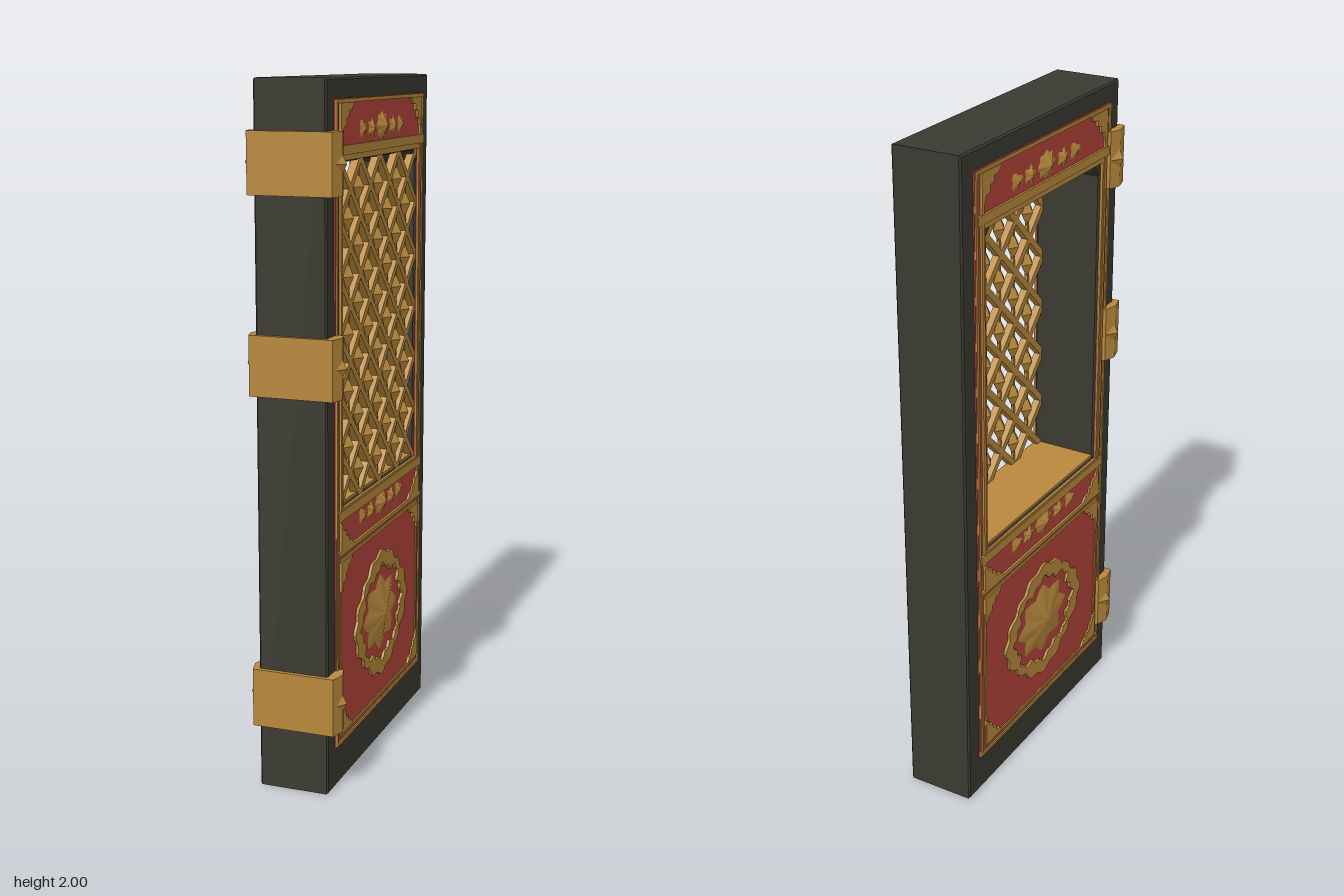
import * as THREE from 'three';

const mat = (name, color) => Object.assign(new THREE.MeshStandardMaterial({ color }), { name });

export function createModel() {
  const dark = mat('dark frame', 0x3a3a32);
  const red = mat('red lacquer', 0xb2443a);
  const gold = mat('gold', 0xb8883c);
  const root = new THREE.Group();
  root.name = 'latticeDoor';

  const add = (parent, name, geo, material, x = 0, y = 0, z = 0) => {
    const m = new THREE.Mesh(geo, material);
    m.name = name;
    m.position.set(x, y, z);
    parent.add(m);
    return m;
  };
  const poly = (pts) => new THREE.Shape(pts.map((p) => new THREE.Vector2(...p)));
  const rect = (w, y0, y1) => poly([[-w, y0], [w, y0], [w, y1], [-w, y1]]);
  const extrude = (shape, depth) => new THREE.ExtrudeGeometry(shape, { depth, bevelEnabled: false });
  const ring = (outer, inner, depth) => {
    outer.holes.push(inner);
    return extrude(outer, depth);
  };
  // closed oval outline with a scalloped edge
  const lobed = (rx, ry, f, n = 96) => poly(Array.from({ length: n }, (_, i) => {
    const a = (i / n) * Math.PI * 2;
    return [Math.cos(a) * rx * f(a), Math.sin(a) * ry * f(a)];
  }));
  // shallow pointed flower standing on the panel
  const flower = (rx, ry, h, petals, dip) => {
    const g = new THREE.ConeGeometry(1, h, petals * 4, 2, true).rotateX(Math.PI / 2).translate(0, 0, h / 2);
    const p = g.attributes.position;
    for (let i = 0; i < p.count; i++) {
      const x = p.getX(i), y = p.getY(i);
      const k = 1 - dip * (0.5 - 0.5 * Math.cos(petals * Math.atan2(y, x)));
      p.setXY(i, x * rx * k, y * ry * k);
    }
    g.computeVertexNormals();
    return g;
  };

  const W = 0.326, Y0 = 0.82, Y1 = 1.78, C = -0.007;

  // Thick frame with the window cut through it
  const frame = rect(0.424, 0.006, 1.994);
  frame.holes.push(poly([[-W, Y0], [W, Y0], [W, Y1 - 0.04], [W - 0.04, Y1], [0.04 - W, Y1], [-W, Y1 - 0.04]]));
  const frameGeo = new THREE.ExtrudeGeometry(frame, {
    depth: 0.198, bevelEnabled: true, bevelSize: 0.005, bevelThickness: 0.005, bevelSegments: 1,
  }).translate(0, 0, -0.099).rotateY(Math.PI / 2);
  add(root, 'frame', frameGeo, dark, -0.003, 0, C);
  add(root, 'windowSill', new THREE.BoxGeometry(0.2, 0.012, W * 2), gold, -0.003, Y0 + 0.006, C);

  // Carved decoration of one broad face, drawn facing +z and then turned outwards
  const face = (name) => {
    const g = new THREE.Group();
    g.name = name;
    add(g, 'redPanel', ring(rect(0.373, 0.12, 1.945), rect(W, Y0, Y1), 0.004), red);
    add(g, 'outerBorder', ring(rect(0.371, 0.122, 1.943), rect(0.361, 0.132, 1.933), 0.008), gold);
    add(g, 'windowBorder', ring(rect(0.346, 0.795, 1.81), rect(W, Y0, Y1), 0.008), gold);
    add(g, 'lowerBorder', ring(rect(0.346, 0.143, 0.675), rect(0.336, 0.153, 0.665), 0.007), gold);
    for (const [y, h] of [[1.808, 0.026], [0.8, 0.028], [0.692, 0.012]]) {
      add(g, 'crossRail', new THREE.BoxGeometry(0.73, h, 0.012), gold, 0, y, 0.005);
    }
    for (const s of [-1, 1]) {
      add(g, 'sideRail', new THREE.BoxGeometry(0.012, 1.1, 0.01), gold, s * 0.34, 1.3, 0.005);
      // leaf ornaments in the panel corners
      for (const [y, t, a, b] of [[1.933, -1, 0.1, 0.09], [0.698, 1, 0.1, 0.08], [0.665, -1, 0.09, 0.085], [0.153, 1, 0.09, 0.085]]) {
        const leaf = [[0, 0], [1, 0], [0.85, 0.2], [0.62, 0.22], [0.6, 0.42], [0.42, 0.44], [0.38, 0.68], [0.2, 0.7], [0.15, 0.9], [0, 1]];
        add(g, 'cornerLeaf', extrude(poly(leaf.map(([u, v]) => [s * (0.345 - u * a), y + t * v * b])), 0.011), gold);
      }
    }
    // flower row in the upper and lower bands
    for (const y of [1.862, 0.757]) {
      add(g, 'bandFlower', flower(0.052, 0.043, 0.02, 8, 0.2), gold, 0, y, 0.003);
      for (const s of [-1, 1]) {
        add(g, 'bandLeaf', flower(0.035, 0.032, 0.014, 5, 0.4), gold, s * 0.09, y - 0.004, 0.003);
        add(g, 'bandBud', flower(0.04, 0.03, 0.012, 3, 0.45), gold, s * 0.16, y - 0.002, 0.003);
      }
    }
    // medallion: leafy ring around a star flower
    const outer = lobed(0.215, 0.182, (a) => 1 + 0.05 * Math.cos(4 * a) + 0.035 * Math.cos(16 * a));
    const inner = lobed(0.172, 0.142, (a) => 1 + 0.06 * Math.cos(8 * a) + 0.05 * Math.cos(20 * a));
    add(g, 'medallionRing', ring(outer, inner, 0.012), gold, 0, 0.41, 0);
    add(g, 'medallionFlower', flower(0.155, 0.125, 0.022, 8, 0.26), gold, 0, 0.41, 0.003);
    root.add(g);
    return g;
  };
  const left = face('leftFace');
  left.position.set(0.101, 0, C);
  left.rotation.y = Math.PI / 2;
  const right = face('rightFace');
  right.position.set(-0.107, 0, C);
  right.rotation.y = -Math.PI / 2;

  // Diagonal lattice with a diamond in every cell, on the left face only
  const lattice = new THREE.Group();
  lattice.name = 'lattice';
  const a = W / 4, b = 0.08;
  for (const s of [-1, 1]) {
    for (let k = -8; k <= 8; k += 2) {
      const i0 = Math.max(-4, k - 6), i1 = Math.min(4, k + 6);
      const du = (i1 - i0) * a, dv = -(i1 - i0) * b;
      const bar = add(lattice, 'latticeBar', new THREE.BoxGeometry(Math.hypot(du, dv), 0.02, 0.022), gold,
        s * a * (i0 + i1) / 2, b * (k - (i0 + i1) / 2));
      bar.rotation.z = s * Math.atan2(dv, du);
    }
  }
  const diamond = new THREE.OctahedronGeometry(1).scale(0.031, 0.046, 0.02);
  const link = new THREE.BoxGeometry(0.008, 0.15, 0.01);
  for (let i = -3; i <= 3; i++) {
    for (let j = -5; j <= 5; j++) {
      if ((i + j) % 2 === 0) continue;
      add(lattice, 'latticeDiamond', diamond, gold, i * a, j * b);
      add(lattice, 'latticeLink', link, gold, i * a, j * b);
    }
  }
  lattice.position.set(0.09, (Y0 + Y1) / 2, C);
  lattice.rotation.y = Math.PI / 2;
  root.add(lattice);

  // Three wrap-around hinge clamps with a pointed stud on each side
  const section = poly([[-0.122, -0.435], [0.122, -0.435], [0.134, -0.39], [0.122, -0.35], [-0.122, -0.35], [-0.134, -0.39]]);
  const clampGeo = extrude(section, 0.17).rotateX(-Math.PI / 2).translate(0, -0.085, 0);
  for (const y of [1.777, 1.23, 0.27]) {
    const clamp = new THREE.Group();
    clamp.name = 'hingeClamp';
    clamp.position.y = y;
    add(clamp, 'clampBand', clampGeo, gold);
    for (const s of [-1, 1]) {
      add(clamp, 'clampStud', new THREE.OctahedronGeometry(1).scale(0.022, 0.045, 0.035), gold, s * 0.124, 0, 0.388);
    }
    root.add(clamp);
  }
  return root;
}
